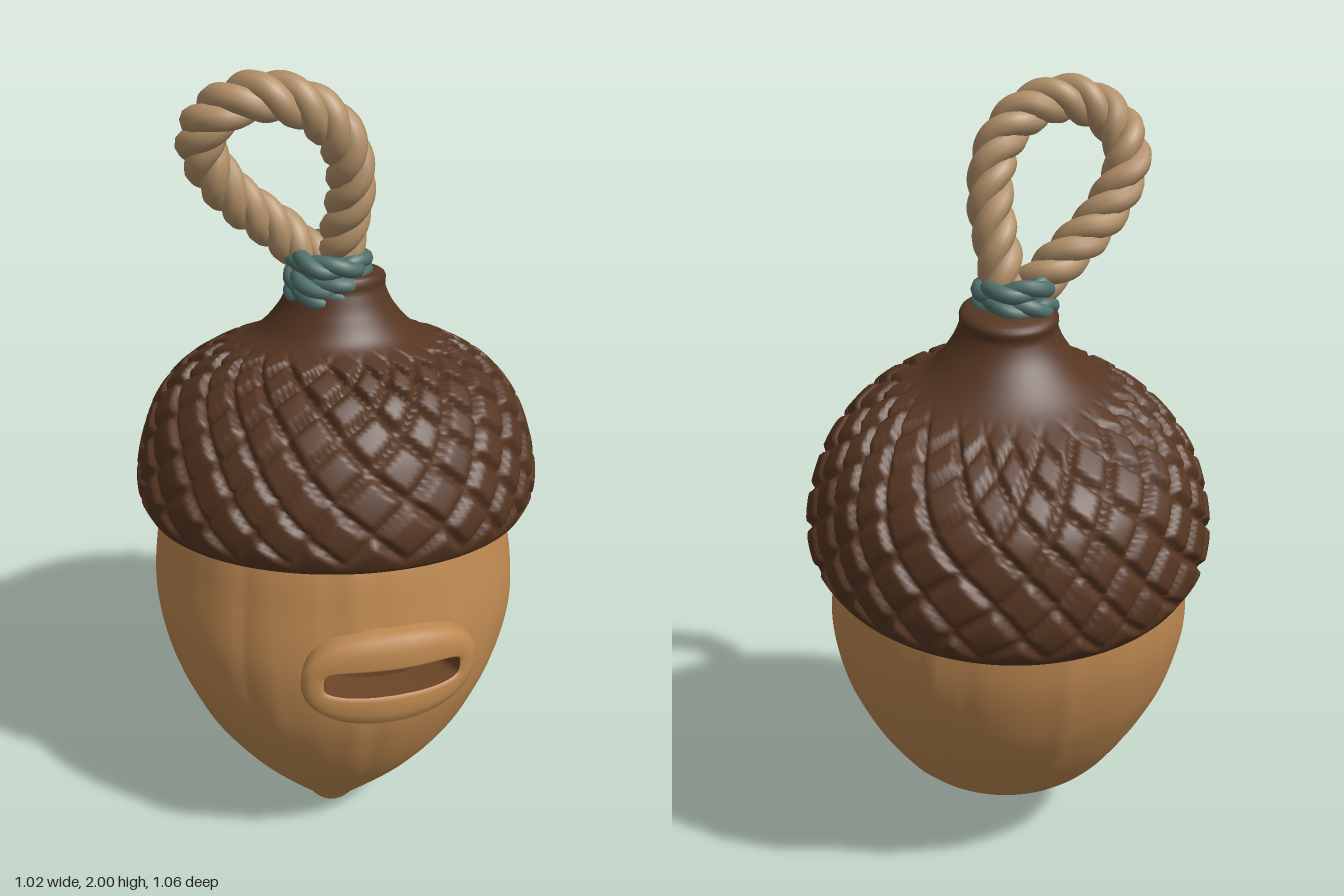
import * as THREE from 'three';
import { mergeVertices } from 'three/addons/utils/BufferGeometryUtils.js';

const mat = (name, color, side = THREE.FrontSide) => {
  const m = new THREE.MeshStandardMaterial({ color, side });
  m.name = name;
  return m;
};
const smooth = THREE.MathUtils.smoothstep;

// Nut section: radius, height, z offset of the ring centre (the nut leans back)
const nutPoints = new THREE.CatmullRomCurve3([
  [0.001, 0, 0.17], [0.045, 0.015, 0.17], [0.08, 0.05, 0.16], [0.15, 0.1, 0.13],
  [0.265, 0.2, 0.09], [0.34, 0.3, 0.075], [0.395, 0.4, 0.063], [0.435, 0.5, 0.05],
  [0.462, 0.65, 0.03], [0.45, 0.8, 0.012], [0.42, 0.94, 0], [0.36, 1.05, -0.02],
].map((p) => new THREE.Vector3(...p))).getPoints(110);

function nutAt(y) {
  let i = 1;
  while (i < nutPoints.length - 1 && nutPoints[i].y < y) i++;
  const a = nutPoints[i - 1], b = nutPoints[i];
  return a.clone().lerp(b, THREE.MathUtils.clamp((y - a.y) / (b.y - a.y), 0, 1));
}

// Lathe with welded seam, each vertex moved by rule(v, angle)
function shapedLathe(points, segments, rule) {
  let g = new THREE.LatheGeometry(points, segments);
  g.deleteAttribute('uv');
  g.deleteAttribute('normal');
  g = mergeVertices(g, 1e-5);
  const pos = g.attributes.position, v = new THREE.Vector3();
  for (let i = 0; i < pos.count; i++) {
    v.fromBufferAttribute(pos, i);
    rule(v, Math.atan2(v.x, v.z));
    pos.setXYZ(i, v.x, v.y, v.z);
  }
  return g;
}

// Slot frame: coordinates across the nut surface (u right, v up, w outward)
const slot = { angle: 0.268, y: 0.645, radius: 0.49, tilt: -0.06 };

function onNut(u, v, w) {
  const c = Math.cos(slot.tilt), s = Math.sin(slot.tilt);
  const y = slot.y + u * s + v * c, n = nutAt(y);
  const a = slot.angle + (u * c - v * s) / slot.radius;
  return [(n.x + w) * Math.sin(a) - 0.01, y, n.z + (n.x + w) * Math.cos(a)];
}

function buildNut() {
  const g = shapedLathe(nutPoints.map((p) => new THREE.Vector2(p.x, p.y)), 160, (v, a) => {
    // Faint lengthwise ridges that fade towards the tip
    const wave = Math.sin(a * 17 + 2 * Math.sin(a * 3)) * Math.sin(a * 5 + v.y * 1.5);
    const k = 1 + 0.011 * Math.pow(Math.abs(wave), 3) * Math.sign(wave) * smooth(v.y, 0.1, 0.4);
    v.x = v.x * k - 0.01 - 0.012 * (1 - smooth(v.y, 0, 0.3));
    v.z = v.z * k + nutAt(v.y).z;
  });
  g.computeVertexNormals();
  // Open the wall behind the coin slot
  const p = g.attributes.position, idx = g.index.array, keep = [];
  for (let i = 0; i < idx.length; i += 3) {
    const t = [idx[i], idx[i + 1], idx[i + 2]];
    const mean = (f) => t.reduce((s, k) => s + f(k), 0) / 3;
    const x = mean((k) => p.getX(k)), y = mean((k) => p.getY(k)), z = mean((k) => p.getZ(k));
    const u = (Math.atan2(x + 0.01, z - 0.03) - slot.angle) * slot.radius;
    if (!(z > 0 && Math.abs(u) < 0.185 && Math.abs(y - slot.y + u * 0.06) < 0.06)) keep.push(...t);
  }
  g.setIndex(keep);
  return g;
}

// Rounded loops joined from outside to inside: [half width, half height, w, roundness]
function loopStrip(sections) {
  const n = 72, m = sections.length, pos = [], index = [];
  const pw = (x, e) => Math.sign(x) * Math.pow(Math.abs(x), e);
  for (let i = 0; i < n; i++) {
    const t = (i / n) * Math.PI * 2;
    for (const [hw, hh, w, e] of sections) {
      pos.push(...onNut(hw * pw(Math.cos(t), e), hh * pw(Math.sin(t), e), w));
    }
  }
  for (let i = 0; i < n; i++) {
    for (let j = 0; j < m - 1; j++) {
      const a = i * m + j, b = ((i + 1) % n) * m + j;
      index.push(a, b, a + 1, b, b + 1, a + 1);
    }
  }
  const g = new THREE.BufferGeometry();
  g.setAttribute('position', new THREE.Float32BufferAttribute(pos, 3));
  g.setIndex(index);
  g.computeVertexNormals();
  return g;
}

function buildCap() {
  const curve = new THREE.SplineCurve([
    [0.38, 0.06], [0.43, 0.005], [0.47, -0.012], [0.495, 0.03], [0.502, 0.1], [0.485, 0.19],
    [0.45, 0.28], [0.385, 0.36], [0.295, 0.42], [0.2, 0.47], [0.145, 0.53], [0.12, 0.58],
    [0.11, 0.62], [0.001, 0.64],
  ].map((p) => new THREE.Vector2(...p)));
  const pts = curve.getSpacedPoints(130);
  const step = curve.getLength() / 130;
  const arcAt = (r, y) => {
    let best = 0, d = 9;
    pts.forEach((p, i) => {
      const e = Math.hypot(p.x - r, p.y - y);
      if (e < d) { d = e; best = i; }
    });
    return best * step;
  };
  const g = shapedLathe(pts, 240, (v, a) => {
    // Diamond scales between two families of spiral grooves
    const r = Math.hypot(v.x, v.z), s = arcAt(r, v.y) * 6.6;
    const wob = 0.12 * Math.sin(a * 5 + s) + 0.08 * Math.sin(a * 3 - s * 2);
    const p = (a * 22) / (Math.PI * 2) + s + wob, q = (a * 22) / (Math.PI * 2) - s + wob;
    const d = Math.min(Math.abs(p - Math.round(p)), Math.abs(q - Math.round(q)));
    const fade = smooth(v.y, 0.0, 0.05) * (1 - smooth(v.y, 0.41, 0.475)) * smooth(r, 0.2, 0.3);
    const lift = (0.02 * smooth(d, 0, 0.17) - 0.014) * fade;
    const out = lift * (1 - smooth(v.y, 0.15, 0.55) * 0.6);
    v.x += (v.x / r) * out;
    v.z += (v.z / r) * out;
    v.y += lift * smooth(v.y, 0.1, 0.4);
    // The neck bends back upright
    v.z += 0.095 * smooth(v.y, 0.3, 0.6);
  });
  g.computeVertexNormals();
  return g;
}

// Twisted strands winding around a path
function rope(path, { strands, turns, offset, radius, segments, closed = false }) {
  const frames = path.computeFrenetFrames(segments, closed);
  return Array.from({ length: strands }, (_, k) => {
    const pts = [];
    for (let i = 0; i < segments + (closed ? 0 : 1); i++) {
      const a = (i / segments) * turns * Math.PI * 2 + (k / strands) * Math.PI * 2;
      pts.push(path.getPointAt(i / segments)
        .addScaledVector(frames.normals[i], Math.cos(a) * offset)
        .addScaledVector(frames.binormals[i], Math.sin(a) * offset));
    }
    return new THREE.TubeGeometry(new THREE.CatmullRomCurve3(pts, closed), segments, radius, 10, closed);
  });
}

export function createModel() {
  const model = new THREE.Group();
  model.name = 'acornBank';
  const nutTan = mat('nut tan', 0xbd8850);
  const capBrown = mat('cap brown', 0x563622, THREE.DoubleSide);
  const slotBrown = mat('slot brown', 0x6a4426);
  const ropeBeige = mat('rope beige', 0xb29069);
  const bindingTeal = mat('binding teal', 0x50706a);
  const add = (name, geometry, material, parent = model) => {
    const mesh = new THREE.Mesh(geometry, material);
    mesh.name = name;
    parent.add(mesh);
    return mesh;
  };

  add('nut', buildNut(), nutTan);

  // Coin slot: raised rim and dark recess
  add('slotRim', loopStrip([
    [0.232, 0.125, -0.02, 0.8], [0.232, 0.125, 0.022, 0.8], [0.222, 0.115, 0.034, 0.8],
    [0.205, 0.085, 0.039, 0.7], [0.185, 0.045, 0.037, 0.55], [0.176, 0.036, 0.03, 0.5],
  ]), nutTan);
  add('slotRecess', loopStrip([[0.176, 0.036, 0.03, 0.5], [0.174, 0.035, -0.05, 0.5]]), slotBrown);
  add('slotFloor', loopStrip([[0.176, 0.037, -0.049, 0.5], [0, 0, -0.049, 0.5]]), slotBrown);

  const cap = add('cap', buildCap(), capBrown);
  cap.position.set(0, 0.845, -0.01);
  cap.rotation.x = -0.195;

  // Cord binding around the neck
  const binding = new THREE.Group();
  binding.name = 'binding';
  binding.position.set(-0.02, 1.477, -0.01);
  model.add(binding);
  add('bindingCore', new THREE.CylinderGeometry(0.08, 0.085, 0.12, 32), bindingTeal, binding);
  [-0.045, 0, 0.045].forEach((y, i) => {
    const ring = new THREE.CatmullRomCurve3(Array.from({ length: 16 }, (_, k) => {
      const a = (k / 16) * Math.PI * 2;
      return new THREE.Vector3(0.079 * Math.cos(a), y + 0.009 * Math.sin(a + i * 2.2), 0.079 * Math.sin(a));
    }), true);
    rope(ring, { strands: 2, turns: 3, offset: 0.009, radius: 0.02, segments: 72, closed: true })
      .forEach((g) => add('bindingWrap', g, bindingTeal, binding));
  });

  // Hanging loop leaning forward
  const loop = new THREE.Group();
  loop.name = 'hangingLoop';
  model.add(loop);
  const path = new THREE.CatmullRomCurve3([
    [0.0, 1.46], [0.015, 1.58], [0.03, 1.73], [0.005, 1.84], [-0.075, 1.92], [-0.18, 1.942],
    [-0.275, 1.895], [-0.305, 1.81], [-0.245, 1.69], [-0.13, 1.58], [-0.05, 1.5], [-0.03, 1.45],
  ].map(([x, y]) => new THREE.Vector3(x, y, (y - 1.55) * 0.29 - (x < -0.1 && y < 1.85 ? 0.025 : 0))));
  rope(path, { strands: 3, turns: 6, offset: 0.027, radius: 0.031, segments: 200 })
    .forEach((g) => add('ropeStrand', g, ropeBeige, loop));

  return model;
}
